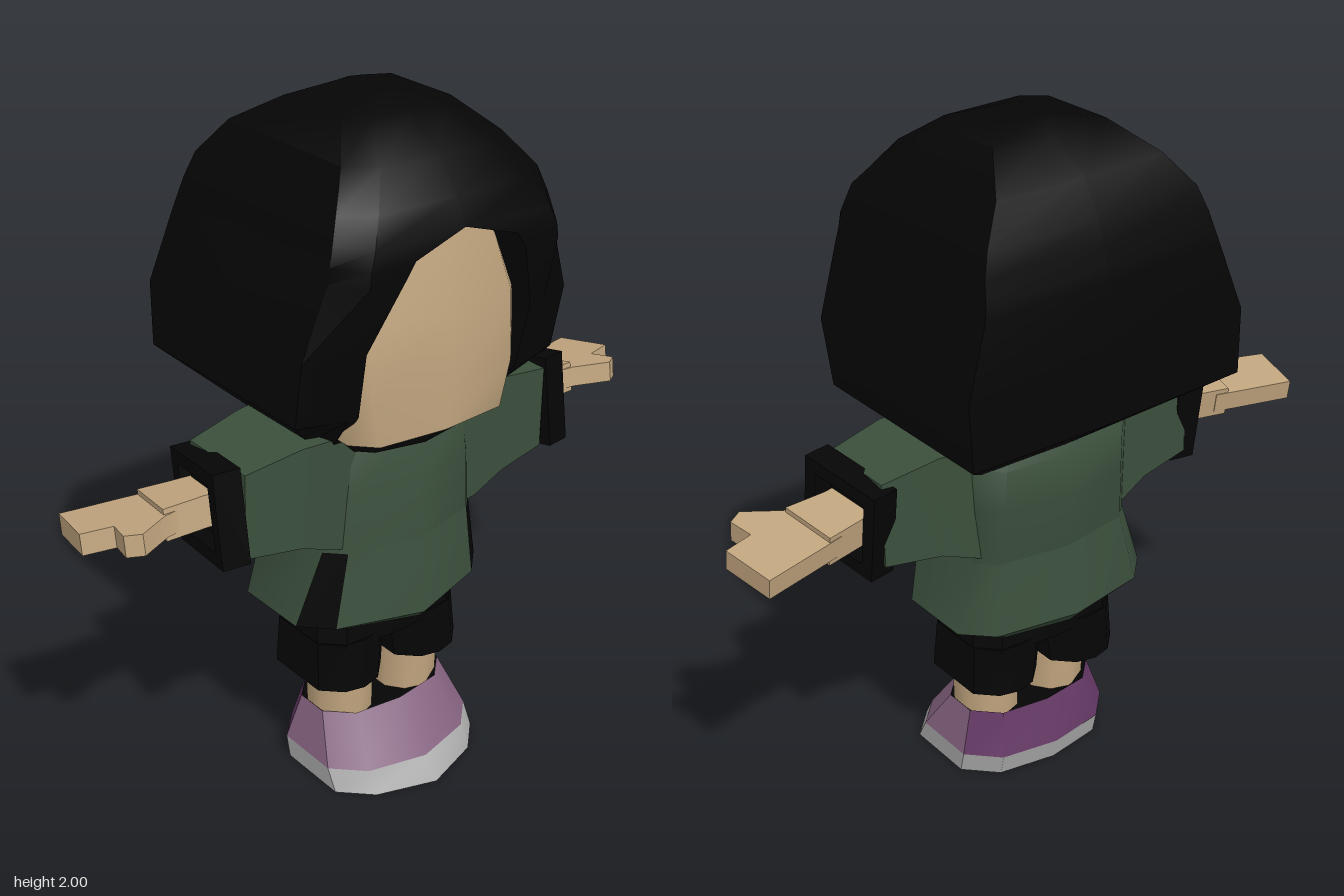
import * as THREE from 'three';
import { toCreasedNormals } from 'three/addons/utils/BufferGeometryUtils.js';

const mat = (color) => new THREE.MeshStandardMaterial({ color, side: THREE.DoubleSide });
const black = mat(0x050505), skin = mat(0xc0a47e), green = mat(0x3b4f3c);
const purple = mat(0x84627f), plum = mat(0x643864), pale = mat(0xacacac);

function add(parent, name, geometry, material, crease = 0.6) {
  const mesh = new THREE.Mesh(toCreasedNormals(geometry, crease), material);
  mesh.name = name;
  parent.add(mesh);
  return mesh;
}

// Skin over a stack of cross-sections; segs picks which strips to build.
function loft(rings, { bottom = true, top = true, segs = null } = {}) {
  const n = rings[0].length, index = [];
  const list = segs || [...Array(n).keys()];
  for (let i = 0; i < rings.length - 1; i++) {
    for (const j of list) {
      const a = i * n + j, b = i * n + (j + 1) % n;
      index.push(a, b, b + n, a, b + n, a + n);
    }
  }
  const last = (rings.length - 1) * n;
  for (let j = 1; j < n - 1; j++) {
    if (bottom) index.push(0, j + 1, j);
    if (top) index.push(last, last + j, last + j + 1);
  }
  const g = new THREE.BufferGeometry();
  g.setAttribute('position', new THREE.Float32BufferAttribute(rings.flat(2), 3));
  g.setIndex(index);
  g.computeVertexNormals();
  return g;
}

// Chamfered rectangle at height y; b pushes out the front and back middles.
function ring(y, hx, zb, zf, c, b = 0, cx = 0, back = b) {
  return [[0, zf + b], [hx - c, zf], [hx, zf - c], [hx, zb + c], [hx - c, zb],
    [0, zb - back], [c - hx, zb], [-hx, zb + c], [-hx, zf - c], [c - hx, zf]]
    .map(([x, z]) => [cx + x, y, z]);
}

// Rectangle across the arm at distance x.
const armRing = (x, y0, y1, z0, z1) => [[x, y1, z1], [x, y0, z1], [x, y0, z0], [x, y1, z0]];

// Hair section that is open around the face.
function hairRing([y, w, fx, hx, zs, zb, zf]) {
  const half = [[w, zf - 0.12], [w, zf], [fx, zf], [hx, zs], [hx, zb]];
  const mirrored = half.map(([x, z]) => [-x, z]).reverse();
  return [...half, [0, zb - 0.01], ...mirrored].map(([x, z]) => [x, y, z]);
}

// Flat plate from a top-view outline of [x, z] points.
function plate(outline, depth) {
  const shape = new THREE.Shape(outline.map(([x, z]) => new THREE.Vector2(x, -z)));
  const g = new THREE.ExtrudeGeometry(shape, { depth, bevelEnabled: false });
  return g.rotateX(-Math.PI / 2).translate(0, 0.01 - depth / 2, 0);
}

function buildArm() {
  const arm = new THREE.Group();
  add(arm, 'sleeve', loft([
    armRing(0.16, 0.78, 1.13, -0.13, 0.19),
    armRing(0.25, 0.8, 1.14, -0.12, 0.2),
    armRing(0.36, 0.84, 1.14, -0.1, 0.19),
    armRing(0.53, 0.86, 1.11, -0.08, 0.17),
  ]), green);

  const wrist = new THREE.Group();
  wrist.name = 'forearm';
  wrist.position.set(0.556, 0.98, 0.046);
  wrist.rotation.set(-0.15, 0.17, 0);
  arm.add(wrist);

  // Hollow square cuff with a dark lining
  const rect = (Type, a, b) => new Type([[-a, -b], [a, -b], [a, b], [-a, b]]
    .map(([x, y]) => new THREE.Vector2(x, y)));
  const cuff = rect(THREE.Shape, 0.135, 0.135);
  cuff.holes.push(rect(THREE.Path, 0.095, 0.095));
  const cuffGeo = new THREE.ExtrudeGeometry(cuff, { depth: 0.08, bevelEnabled: false });
  add(wrist, 'cuff', cuffGeo.translate(0, 0, -0.04).rotateY(Math.PI / 2), black);
  add(wrist, 'cuffLining', new THREE.BoxGeometry(0.06, 0.15, 0.15).translate(-0.02, 0, -0.01), black);

  // Forearm and flat mitten hand with the thumb pointing forward
  add(wrist, 'wrist', plate([[-0.06, -0.09], [0.16, -0.1], [0.16, 0.075], [0.04, 0.06], [-0.06, 0.06]],
    0.09), skin);
  add(wrist, 'hand', plate([[0.12, -0.1], [0.375, -0.115], [0.38, 0.05], [0.29, 0.06],
    [0.295, 0.135], [0.25, 0.155], [0.16, 0.084], [0.12, 0.07]], 0.06), skin);
  return arm;
}

export function createModel() {
  const model = new THREE.Group();
  const figure = new THREE.Group();
  figure.name = 'figure';
  figure.rotation.y = -0.17;
  model.add(figure);

  // Joined pair of shoes
  const welt = ring(0.065, 0.262, -0.1, 0.27, 0.085, 0.045, -0.015, 0.03);
  const collar = ring(0.2, 0.22, -0.07, 0.17, 0.07, 0.02, -0.01);
  add(figure, 'sole', loft([ring(0, 0.262, -0.085, 0.305, 0.085, 0.06, -0.015, 0.03), welt]), pale);
  add(figure, 'shoeUpper', loft([welt, collar],
    { bottom: false, top: false, segs: [0, 1, 2, 7, 8, 9] }), purple);
  add(figure, 'shoeHeel', loft([welt, collar],
    { bottom: false, top: false, segs: [3, 4, 5, 6] }), plum);
  add(figure, 'shoeOpening', loft([collar, ring(0.17, 0.19, -0.04, 0.15, 0.06, 0.02, -0.01)],
    { bottom: false }), black);

  // Legs and shorts
  for (const s of [1, -1]) {
    const leg = new THREE.CylinderGeometry(0.105, 0.098, 0.3, 10);
    add(figure, s > 0 ? 'leftLeg' : 'rightLeg', leg.translate(s * 0.122 - 0.01, 0.28, 0.055), skin, 1);
    add(figure, s > 0 ? 'leftShortsLeg' : 'rightShortsLeg', loft([
      ring(0.31, 0.115, -0.12, 0.19, 0.055, 0.015, s * 0.142 - 0.013),
      ring(0.46, 0.12, -0.115, 0.18, 0.055, 0.01, s * 0.128 - 0.013),
    ]), black);
  }
  add(figure, 'shortsWaist', loft([ring(0.44, 0.248, -0.115, 0.182, 0.06, 0.01, -0.013),
    ring(0.58, 0.235, -0.1, 0.165, 0.06, 0.01, -0.013)]), black);

  // Upper body leans slightly to one side
  const upper = new THREE.Group();
  upper.name = 'upperBody';
  upper.position.x = -0.01;
  upper.rotation.z = -0.015;
  figure.add(upper);

  const hem = ring(0.56, 0.33, -0.17, 0.22, 0.08, 0.08, -0.017, 0.045);
  const waist = ring(0.78, 0.265, -0.155, 0.21, 0.05, 0.055, -0.005, 0.035);
  add(upper, 'jacketHem', loft([ring(0.53, 0.255, -0.15, 0.2, 0.06, 0.07, -0.01, 0.04), hem],
    { top: false }), green);
  add(upper, 'jacketSkirt', loft([hem, waist],
    { bottom: false, top: false, segs: [0, 2, 3, 4, 5, 6, 7, 9] }), green, 1);
  add(upper, 'sidePanels', loft([hem, waist], { bottom: false, top: false, segs: [1, 8] }), black);
  add(upper, 'jacketBody', loft([
    waist,
    ring(0.95, 0.265, -0.175, 0.205, 0.06, 0.04),
    ring(1.08, 0.27, -0.185, 0.19, 0.07, 0.02),
    ring(1.14, 0.23, -0.15, 0.17, 0.07, 0.02),
  ], { bottom: false }), green, 1);

  const leftArm = buildArm();
  leftArm.name = 'leftArm';
  const rightArm = buildArm();
  rightArm.name = 'rightArm';
  rightArm.scale.x = -1;
  upper.add(leftArm, rightArm);

  // Head: collar, face and hair
  const head = new THREE.Group();
  head.name = 'head';
  head.position.set(-0.027, 0, 0);
  head.rotation.z = -0.03;
  figure.add(head);

  add(head, 'collar', loft([
    ring(1.08, 0.23, -0.14, 0.235, 0.08, 0.03), ring(1.155, 0.28, -0.14, 0.28, 0.09, 0.04)]), black);
  add(head, 'face', loft([
    ring(1.15, 0.27, -0.15, 0.325, 0.06, 0.02),
    ring(1.28, 0.31, -0.2, 0.325, 0.07, 0.02),
    ring(1.48, 0.31, -0.2, 0.31, 0.07, 0.03),
    ring(1.76, 0.24, -0.2, 0.25, 0.07, 0.03),
  ]), skin, 1);
  // Columns: height, opening, front half-width, half-width, side front, back, front
  const hair = [
    [1.09, 0.23, 0.25, 0.27, 0.1, -0.16, 0.17],
    [1.25, 0.272, 0.31, 0.445, 0.27, -0.38, 0.31],
    [1.44, 0.28, 0.33, 0.45, 0.3, -0.38, 0.345],
    [1.64, 0.2, 0.315, 0.38, 0.31, -0.365, 0.395],
    [1.68, 0.17, 0.31, 0.37, 0.305, -0.355, 0.392],
    [1.73, 0, 0.29, 0.36, 0.3, -0.34, 0.38],
    [1.8, 0, 0.25, 0.335, 0.28, -0.32, 0.34],
    [1.89, 0, 0.19, 0.265, 0.21, -0.265, 0.27],
    [1.97, 0, 0.12, 0.18, 0.1, -0.14, 0.15],
    [2, 0, 0.02, 0.04, 0.03, -0.09, 0.05],
  ].map(hairRing);
  add(head, 'hair', loft(hair, { bottom: false, segs: [0, 1, 2, 3, 4, 5, 6, 7, 8, 9] }), black);
  return model;
}
